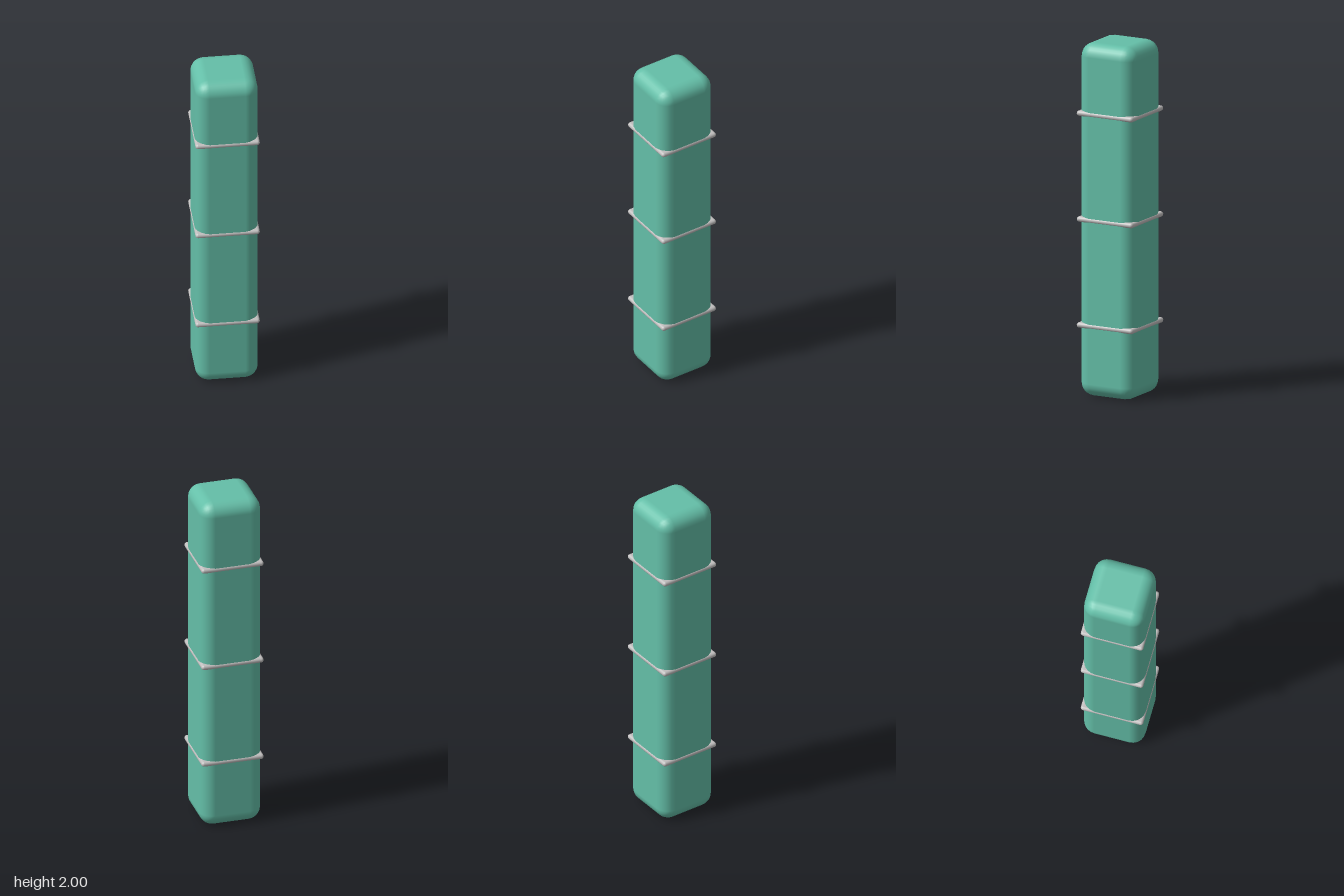
import * as THREE from 'three';
import { RoundedBoxGeometry } from 'three/addons/geometries/RoundedBoxGeometry.js';

export function createModel() {
  const group = new THREE.Group();
  group.name = 'bandedPillar';

  const green = new THREE.MeshStandardMaterial({ color: 0x64bfa8 });
  green.name = 'seaGreen';
  const grey = new THREE.MeshStandardMaterial({ color: 0xc0bebe });
  grey.name = 'lightGrey';

  // Upright soft-edged square pillar
  const body = new THREE.Mesh(new RoundedBoxGeometry(0.35, 2, 0.35, 3, 0.075), green);
  body.name = 'pillarBody';
  body.position.y = 1;
  group.add(body);

  // Three thin rounded bands with corners standing proud of the body
  const bandGeometry = new RoundedBoxGeometry(0.358, 0.03, 0.358, 3, 0.015);
  [0.4, 1, 1.6].forEach((y, i) => {
    const band = new THREE.Mesh(bandGeometry, grey);
    band.name = ['lowerBand', 'middleBand', 'upperBand'][i];
    band.position.y = y + 0.003;
    group.add(band);
  });

  return group;
}
